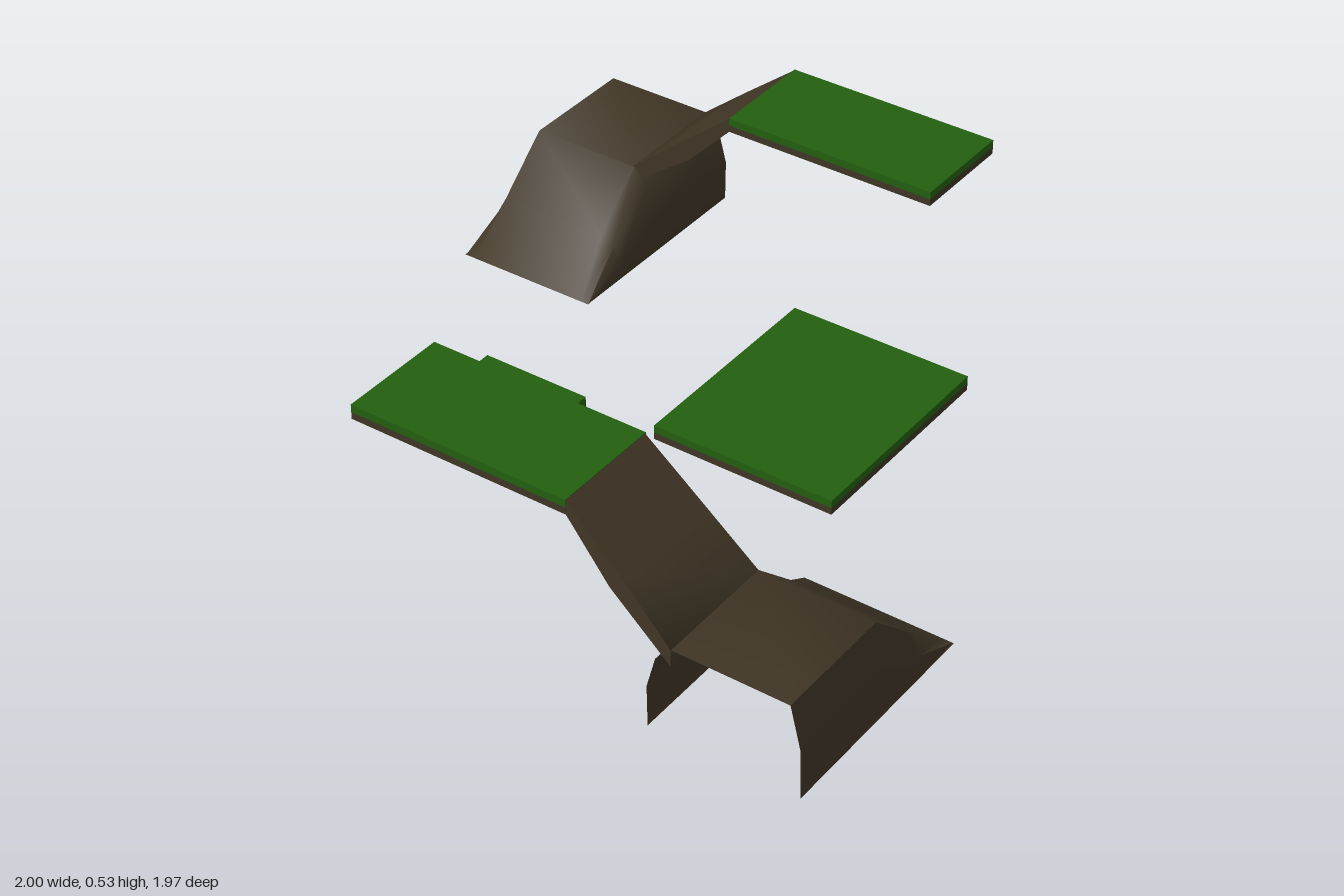
import * as THREE from 'three';
import { toCreasedNormals } from 'three/addons/utils/BufferGeometryUtils.js';

const grass = new THREE.MeshStandardMaterial({ color: 0x236010 });
grass.name = 'grass green';
const earth = new THREE.MeshStandardMaterial({ color: 0x403626, side: THREE.DoubleSide });
earth.name = 'earth brown';

// Skin a list of cross-sections (each a list of [x, y, z])
function loft(rows) {
  const n = rows[0].length;
  const index = [];
  for (let r = 0; r < rows.length - 1; r++) {
    for (let i = 0; i < n - 1; i++) {
      const a = r * n + i, b = a + 1, c = a + n, d = c + 1;
      index.push(a, b, c, b, d, c);
    }
  }
  const geometry = new THREE.BufferGeometry();
  geometry.setAttribute('position', new THREE.Float32BufferAttribute(rows.flat(2), 3));
  geometry.setIndex(index);
  return toCreasedNormals(geometry, 1.0);
}

function addMesh(parent, name, geometry, material) {
  const mesh = new THREE.Mesh(geometry, material);
  mesh.name = name;
  parent.add(mesh);
  return mesh;
}

// Slab with a grass upper layer on an earth lower layer
function platform(name, x0, x1, z0, z1, top) {
  const group = new THREE.Group();
  group.name = name;
  const layer = (label, material, y0, y1) => {
    const mesh = addMesh(group, label, new THREE.BoxGeometry(x1 - x0, y1 - y0, z1 - z0), material);
    mesh.position.set((x0 + x1) / 2, (y0 + y1) / 2, (z0 + z1) / 2);
  };
  layer('grassLayer', grass, top - 0.022, top);
  layer('earthLayer', earth, top - 0.042, top - 0.022);
  return group;
}

// One side: hollow ground ramp, bridge ramp and high platform
function rampSide(name) {
  const side = new THREE.Group();
  side.name = name;

  // Hollow arch, open at the outer end, sinking to the ground at the other
  const arch = [[0.572, 0], [0.57, 0.12], [0.595, 0.215], [0.635, 0.263], [0.967, 0.263], [0.997, 0.14], [1, 0]];
  const stations = [[0.982, 1], [0.63, 1], [0.47, 0.46], [0.32, 0]];
  addMesh(side, 'groundRamp',
    loft(stations.map(([z, s]) => arch.map(([x, y]) => [x, y * s, z]))), earth);

  // Channel: upper and lower edge points, then its width limits
  const steps = [
    { top: [0.32, 0.528], low: [0.32, 0.488], z: [0.636, 0.947] },
    { top: [0.49, 0.39], low: [0.455, 0.348], z: [0.634, 0.964] },
    { top: [0.64, 0.264], low: [0.64, 0.215], z: [0.63, 0.984] },
    { top: [0.64, 0.215], low: [0.64, 0.215], z: [0.63, 0.984] },
  ];
  addMesh(side, 'bridgeRamp', loft(steps.map(({ top, low, z }) =>
    [[...low, z[0]], [...top, z[0]], [...top, z[1]], [...low, z[1]]])), earth);

  side.add(platform('highPlatform', -0.315, 0.32, 0.633, 0.948, 0.53));
  return side;
}

export function createModel() {
  const model = new THREE.Group();
  model.name = 'platformCourse';

  // The two ramp sides are a half turn apart
  const front = rampSide('frontSide');
  const back = rampSide('backSide');
  back.rotation.y = Math.PI;
  model.add(front, back);

  // Low floating platforms
  model.add(platform('largePlatform', 0.11, 0.637, -0.315, 0.312, 0.264));
  model.add(platform('smallPlatform', -0.413, -0.1, 0.314, 0.63, 0.264));
  return model;
}
